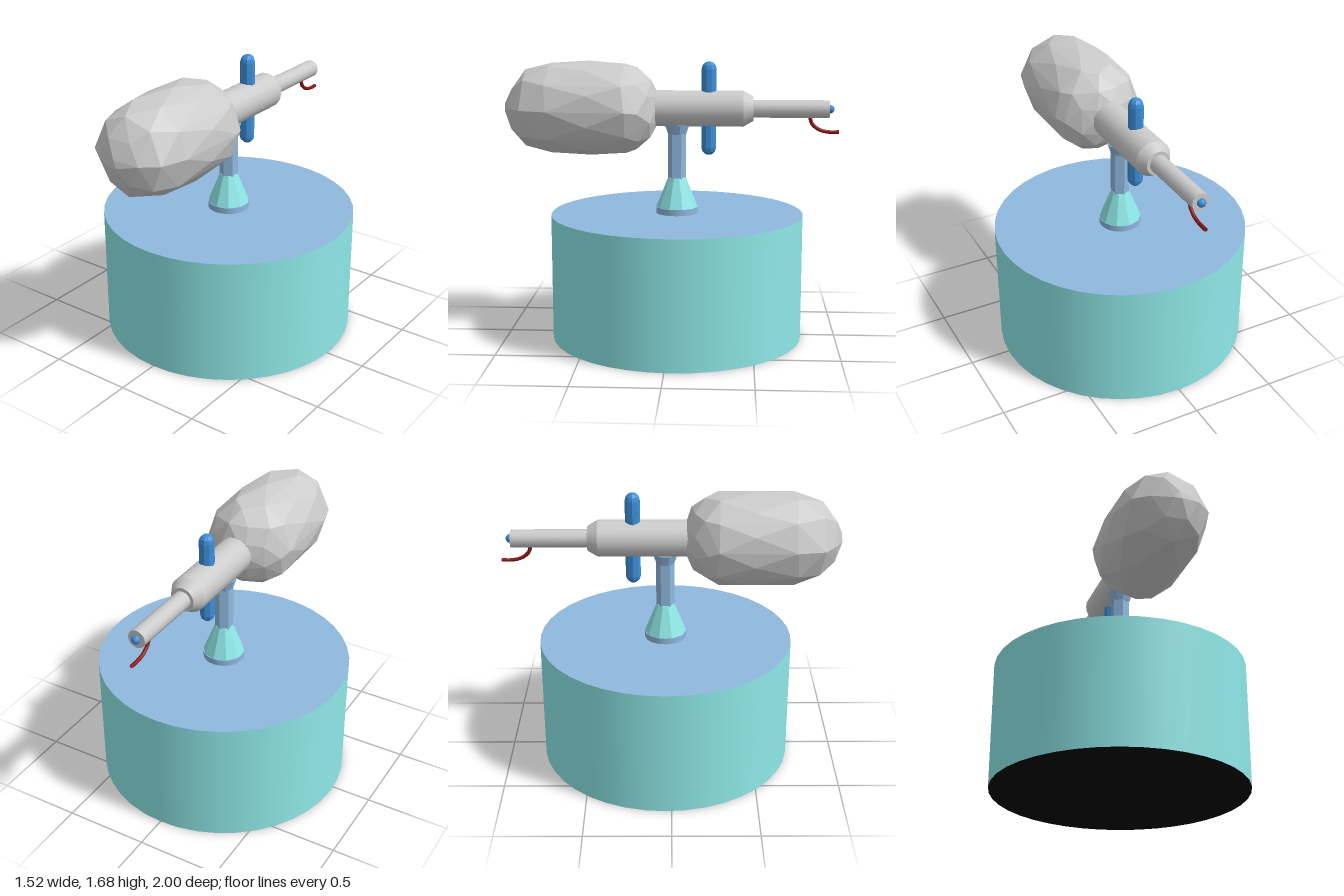
import * as THREE from 'three';
import { ConvexGeometry } from 'three/addons/geometries/ConvexGeometry.js';

const AXIS_Y = 1.393; // height of the barrel axis
const POST_Z = -0.035; // centre of the drum and post

function paint(color, flatShading = false) {
  return new THREE.MeshStandardMaterial({ color, flatShading });
}

export function createModel() {
  const model = new THREE.Group();
  const grey = paint(0xcccccc, true);
  const smoothGrey = paint(0xcccccc);
  const teal = paint(0x8fe8e8);
  const tealFlat = paint(0x8fe8e8, true);
  const paleBlue = paint(0x8fb8de);
  const paleBlueFlat = paint(0x8fb8de, true);
  const blue = paint(0x3c8fd8, true);
  const red = paint(0x8c1414);
  const black = paint(0x050505);

  function add(name, geometry, material, x = 0, y = 0, z = 0) {
    const mesh = new THREE.Mesh(geometry, material);
    mesh.name = name;
    mesh.position.set(x, y, z);
    model.add(mesh);
    return mesh;
  }

  // Upright round section between two heights
  function upright(name, y0, y1, r0, r1, sides, material) {
    const geometry = new THREE.CylinderGeometry(r1, r0, y1 - y0, sides);
    return add(name, geometry, material, 0, (y0 + y1) / 2, POST_Z);
  }

  // Section along the barrel axis, from the front z0 back to z1
  function along(name, z0, z1, r0, r1, sides, material) {
    const geometry = new THREE.CylinderGeometry(r0, r1, z0 - z1, sides);
    geometry.rotateX(Math.PI / 2);
    return add(name, geometry, material, 0, AXIS_Y, (z0 + z1) / 2);
  }

  // Drum and stand
  upright('drum', 0, 0.76, 0.76, 0.76, 40, [teal, paleBlue, black]);
  upright('standDisc', 0.76, 0.797, 0.125, 0.125, 24, paleBlue);
  upright('standCone', 0.797, 0.977, 0.125, 0.053, 10, tealFlat);
  upright('post', 0.97, 1.25, 0.055, 0.055, 6, paleBlueFlat);
  upright('postHead', 1.24, 1.3, 0.055, 0.075, 10, paleBlueFlat);

  // Faceted front body: hull of staggered, slightly uneven rings (z, radius, count)
  const rings = [
    [1.0, 0.03, 3], [0.95, 0.14, 6], [0.87, 0.23, 8], [0.72, 0.275, 10], [0.48, 0.283, 10],
    [0.27, 0.275, 10], [0.2, 0.245, 8], [0.13, 0.185, 8], [0.09, 0.11, 8],
  ];
  let seed = 7;
  const jitter = (amount) => {
    seed = (seed * 16807) % 2147483647;
    return (seed / 2147483647 - 0.5) * amount;
  };
  const points = [];
  rings.forEach(([z, r, count], ring) => {
    for (let i = 0; i < count; i++) {
      const angle = ((i + (ring % 2) / 2 + jitter(0.25)) / count) * Math.PI * 2 + Math.PI / 2;
      const dz = ring === 0 || ring === rings.length - 1 ? 0 : jitter(0.025);
      points.push(new THREE.Vector3(Math.cos(angle) * r, Math.sin(angle) * r, z + dz));
    }
  });
  add('facetedBody', new ConvexGeometry(points), grey, 0, AXIS_Y, 0);

  // Barrel, shoulder and thin rear tube
  along('barrel', 0.14, -0.43, 0.108, 0.108, 20, smoothGrey);
  along('barrelShoulder', -0.43, -0.49, 0.108, 0.073, 20, smoothGrey);
  along('rearTube', -0.47, -0.94, 0.053, 0.053, 14, smoothGrey);
  add('rearTip', new THREE.IcosahedronGeometry(0.026, 1), blue, 0, AXIS_Y, -0.945);

  // Upright rod through the barrel
  add('crossRod', new THREE.CapsuleGeometry(0.045, 0.47, 3, 9), blue, 0, 1.394, -0.225);

  // Curved hook below the tube
  const path = new THREE.CatmullRomCurve3([
    new THREE.Vector3(0, 1.35, -0.825),
    new THREE.Vector3(0, 1.305, -0.84),
    new THREE.Vector3(0, 1.27, -0.885),
    new THREE.Vector3(0, 1.257, -0.94),
    new THREE.Vector3(0, 1.257, -1),
  ]);
  add('hook', new THREE.TubeGeometry(path, 20, 0.011, 8), red).material.side = THREE.DoubleSide;

  return model;
}
